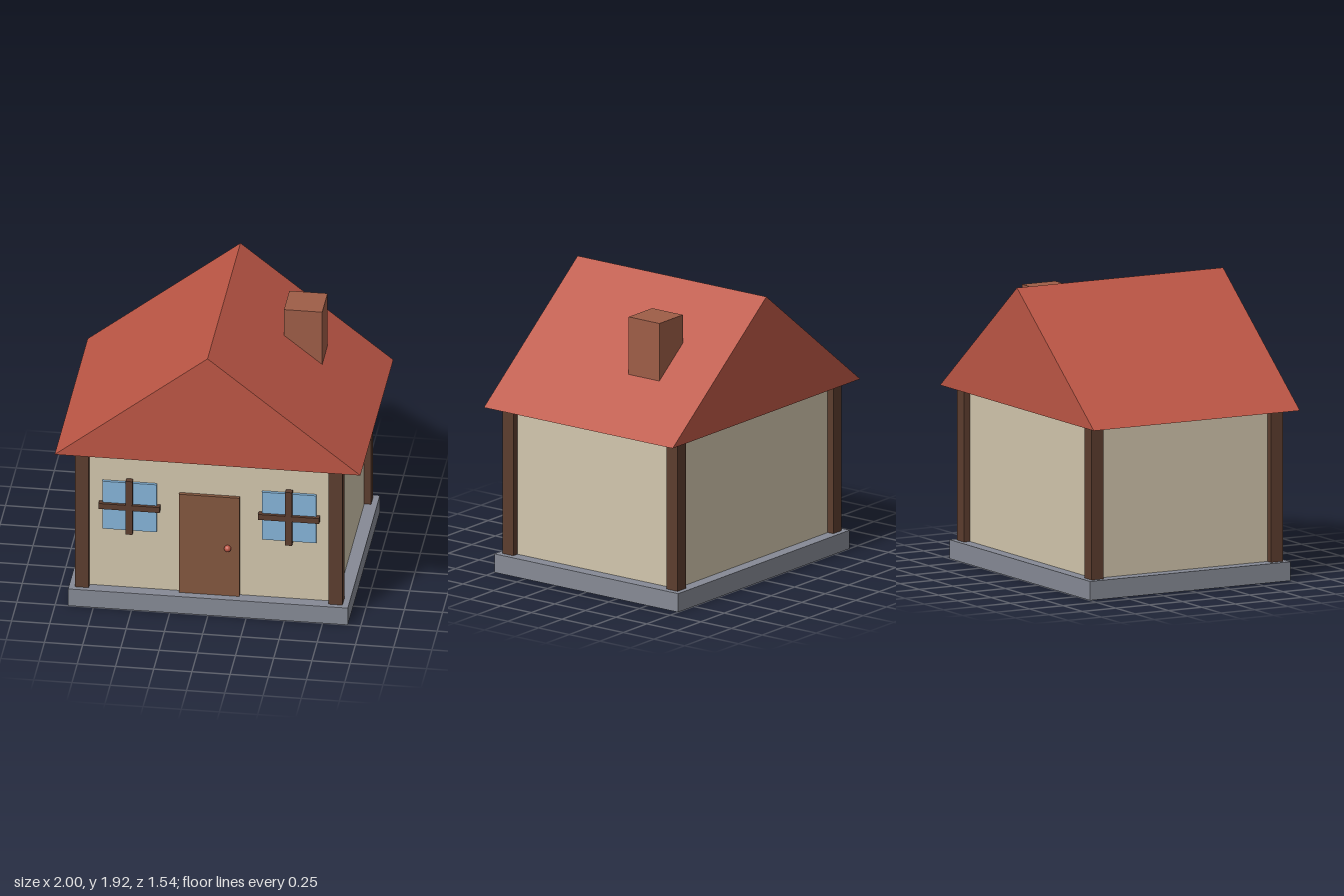
import * as THREE from 'three';

export function createModel() {
  const house = new THREE.Group();
  house.name = 'house';

  const material = (name, color) => {
    const m = new THREE.MeshStandardMaterial({ color });
    m.name = name;
    return m;
  };
  const stone = material('stone', 0x868a95);
  const plaster = material('plaster', 0xd2c6ad);
  const timber = material('darkTimber', 0x5c3d2e);
  const doorWood = material('doorWood', 0x83573f);
  const tile = material('roofTile', 0xbc5645);
  const brick = material('brick', 0x9e5d47);
  const glass = material('glass', 0x85b4d9);

  const add = (parent, name, geometry, mat, x, y, z) => {
    const mesh = new THREE.Mesh(geometry, mat);
    mesh.name = name;
    mesh.position.set(x, y, z);
    parent.add(mesh);
    return mesh;
  };
  const box = (parent, name, mat, w, h, d, x, y, z) =>
    add(parent, name, new THREE.BoxGeometry(w, h, d), mat, x, y, z);

  const floor = 0.125, eaves = 1.13, wallZ = 0.67;
  const wallH = eaves - floor, wallY = (eaves + floor) / 2;

  // Foundation and walls
  box(house, 'foundation', stone, 1.83, floor, 1.5, 0, floor / 2, 0);
  box(house, 'walls', plaster, 1.66, wallH, wallZ * 2, 0, wallY, 0);

  // Corner posts
  for (const sx of [-1, 1])
    for (const sz of [-1, 1])
      box(house, 'cornerPost', timber, 0.09, wallH, 0.09, sx * 0.83, wallY, sz * 0.67);

  // Gabled roof as a solid prism along z
  const gable = new THREE.Shape();
  gable.moveTo(-1, eaves);
  gable.lineTo(1, eaves);
  gable.lineTo(0, 1.92);
  gable.closePath();
  const roof = new THREE.ExtrudeGeometry(gable, { depth: 1.54, bevelEnabled: false });
  add(house, 'roof', roof, tile, 0, 0, -0.77);

  // Chimney, sunk into the right-hand slope
  box(house, 'chimney', brick, 0.25, 0.435, 0.25, 0.5, 1.5975, -0.25);

  // Door and knob
  box(house, 'door', doorWood, 0.395, 0.73, 0.04, 0, 0.49, 0.675);
  add(house, 'doorKnob', new THREE.SphereGeometry(0.023, 16, 12), tile, 0.123, 0.484, 0.71);

  // Windows with crossed bars
  for (const sx of [-1, 1]) {
    const win = new THREE.Group();
    win.name = 'window';
    win.position.set(sx * 0.522, 0.734, wallZ);
    box(win, 'pane', glass, 0.355, 0.352, 0.03, 0, 0, 0.005);
    box(win, 'verticalBar', timber, 0.044, 0.395, 0.04, 0, 0, 0.02);
    box(win, 'horizontalBar', timber, 0.4, 0.04, 0.04, 0, 0, 0.021);
    house.add(win);
  }

  return house;
}
